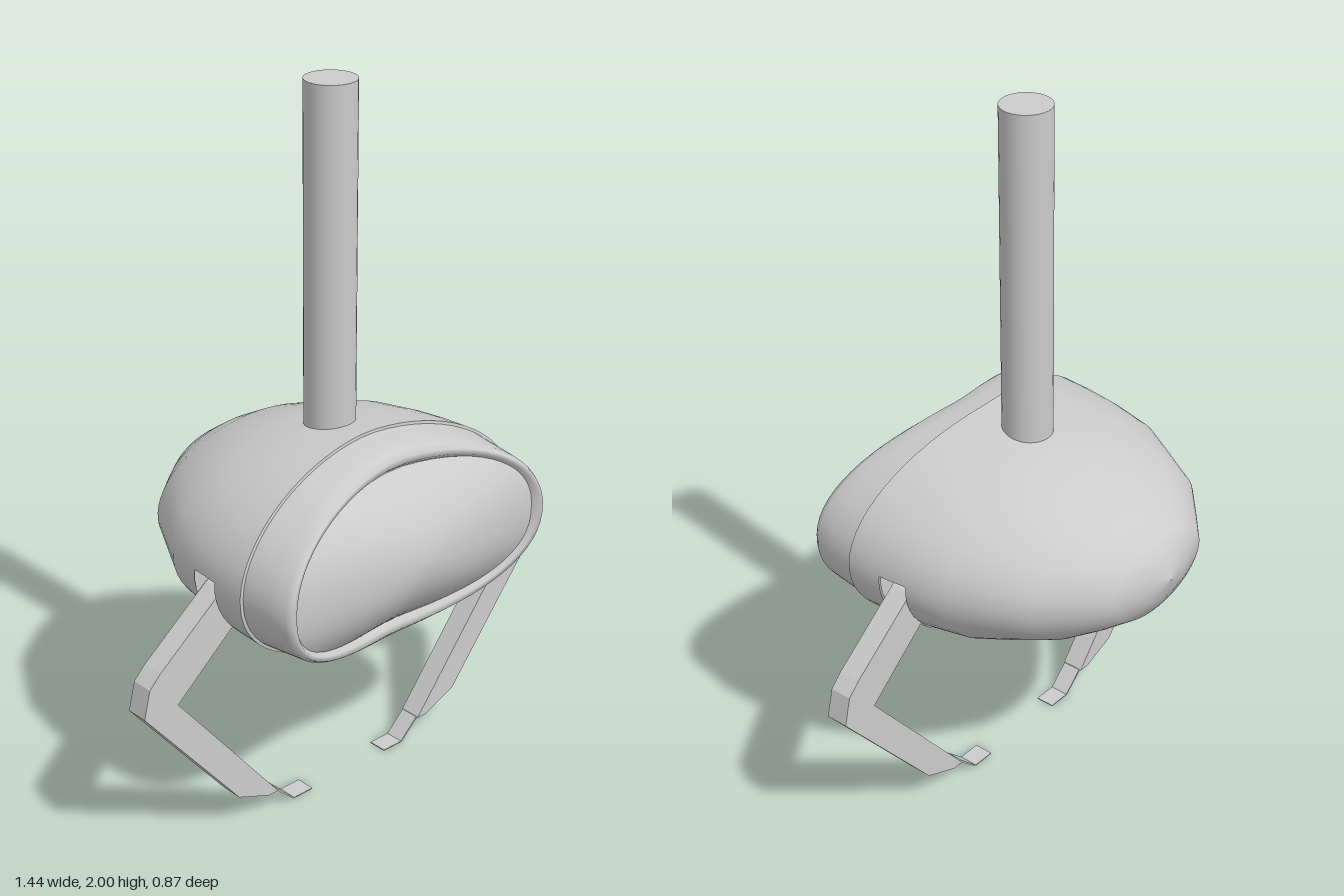
import * as THREE from 'three';

const material = new THREE.MeshStandardMaterial({ color: 0xcccccc });
const thin = new THREE.MeshStandardMaterial({ color: 0xcccccc, side: THREE.DoubleSide });
const inward = new THREE.MeshStandardMaterial({ color: 0xcccccc, side: THREE.BackSide });

const CY = 0.785;              // height of the body's axis
const N = 64;                  // points per ring
const STEP = (Math.PI * 2) / N;
const SLOT_BACK = 0.07, SLOT_FRONT = 0.155;

// Oval point; z sweeps from zMid (centre line) to zSide (flanks)
function ovalPoint(angle, rx, ry, zMid, zSide = zMid, n = 2) {
  const c = Math.cos(angle), s = Math.sin(angle);
  const u = Math.sign(c) * Math.abs(c) ** (2 / n);
  const v = Math.sign(s) * Math.abs(s) ** (2 / n);
  return [rx * u, CY + ry * v, zMid + (zSide - zMid) * Math.abs(u) ** 1.4];
}

// Skin closed rings, listed from back to front; skip() leaves cells open
function loft(rows, skip = () => false) {
  const pos = [], index = [];
  for (const row of rows)
    for (let j = 0; j < N; j++) pos.push(...ovalPoint((j + 0.5) * STEP, ...row));
  for (let i = 0; i < rows.length - 1; i++)
    for (let j = 0; j < N; j++) {
      if (skip(i, j)) continue;
      const k = (j + 1) % N;
      const a = i * N + j, b = i * N + k, c = a + N, d = b + N;
      index.push(a, b, d, a, d, c);
    }
  const g = new THREE.BufferGeometry();
  g.setAttribute('position', new THREE.Float32BufferAttribute(pos, 3));
  g.setIndex(index);
  g.computeVertexNormals();
  return g;
}

function extrude(points, z0, z1) {
  const shape = new THREE.Shape(points.map(([x, y]) => new THREE.Vector2(x, y)));
  const g = new THREE.ExtrudeGeometry(shape, { depth: z1 - z0, bevelEnabled: false });
  return g.translate(0, 0, z0);
}

export function createModel() {
  const root = new THREE.Group();
  const add = (name, geometry, mat = material, parent = root) => {
    const mesh = new THREE.Mesh(geometry, mat);
    mesh.name = name;
    parent.add(mesh);
    return mesh;
  };

  // Rear shell, with an open slot on each flank for the arms
  const shell = [
    [0.001, 0.001, -0.435], [0.085, 0.062, -0.418], [0.19, 0.115, -0.388],
    [0.27, 0.162, -0.32], [0.35, 0.2, -0.25], [0.405, 0.237, -0.15],
    [0.46, 0.267, -0.05], [0.483, 0.285, SLOT_BACK], [0.492, 0.293, SLOT_FRONT],
    [0.496, 0.297, 0.2, 0.26],
  ];
  const inSlot = (j) => j >= N - 7 || (j >= N / 2 - 1 && j < N / 2 + 6);
  add('rearShell', loft(shell, (i, j) => i === 7 && inSlot(j)));
  add('shellLip', loft([[0.496, 0.297, 0.2, 0.26], [0.487, 0.289, 0.201, 0.261]]));

  // Front collar rolling over into a rounded rim
  add('frontCollar', loft([
    [0.487, 0.289, 0.2, 0.26], [0.478, 0.28, 0.26, 0.35],
    [0.47, 0.271, 0.298, 0.4, 2.05], [0.457, 0.255, 0.313, 0.417, 2.15],
    [0.442, 0.237, 0.311, 0.413, 2.25], [0.43, 0.222, 0.293, 0.393, 2.35],
  ]));

  // Bulging front window
  const win = [];
  for (let i = 0; i <= 12; i++) {
    const r = Math.max(1 - i / 12, 0.002), bulge = 0.433;
    win.push([0.432 * r, 0.224 * r,
      bulge + (0.298 - bulge) * r * r, bulge + (0.398 - bulge) * r * r, 2.35]);
  }
  add('frontWindow', loft(win));

  // Mast
  const mast = add('mast', new THREE.CylinderGeometry(0.07, 0.07, 1.05, 32));
  mast.position.set(0, 1.475, 0.055);

  // Arms: recess, bent arm and thin foot, mirrored
  const flank = [];
  for (let j = -7; j <= 0; j++)
    flank.push(ovalPoint((j + 0.5) * STEP, 0.487, 0.289, 0).slice(0, 2));
  const recess = [...flank, [0.34, flank[7][1]], [0.34, flank[0][1]]];
  const arm = [
    [0.36, 0.69], [0.42, 0.64], [0.61, 0.48], [0.27, 0.057], [0.305, 0.057],
    [0.41, 0.1], [0.72, 0.48], [0.7, 0.56], [0.665, 0.595], [0.455, 0.76], [0.42, 0.77],
  ];
  const foot = [
    [0.268, 0.06], [0.208, 0.003], [0.14, 0.003], [0.14, 0], [0.21, 0], [0.274, 0.058],
  ];
  for (const side of [1, -1]) {
    const group = new THREE.Group();
    group.name = side > 0 ? 'leftArm' : 'rightArm';
    group.scale.x = side;
    add('armRecess', extrude(recess, SLOT_BACK, SLOT_FRONT), inward, group);
    add('bentArm', extrude(arm, 0.078, 0.142), material, group);
    add('foot', extrude(foot, 0.082, 0.138), thin, group);
    root.add(group);
  }
  return root;
}
